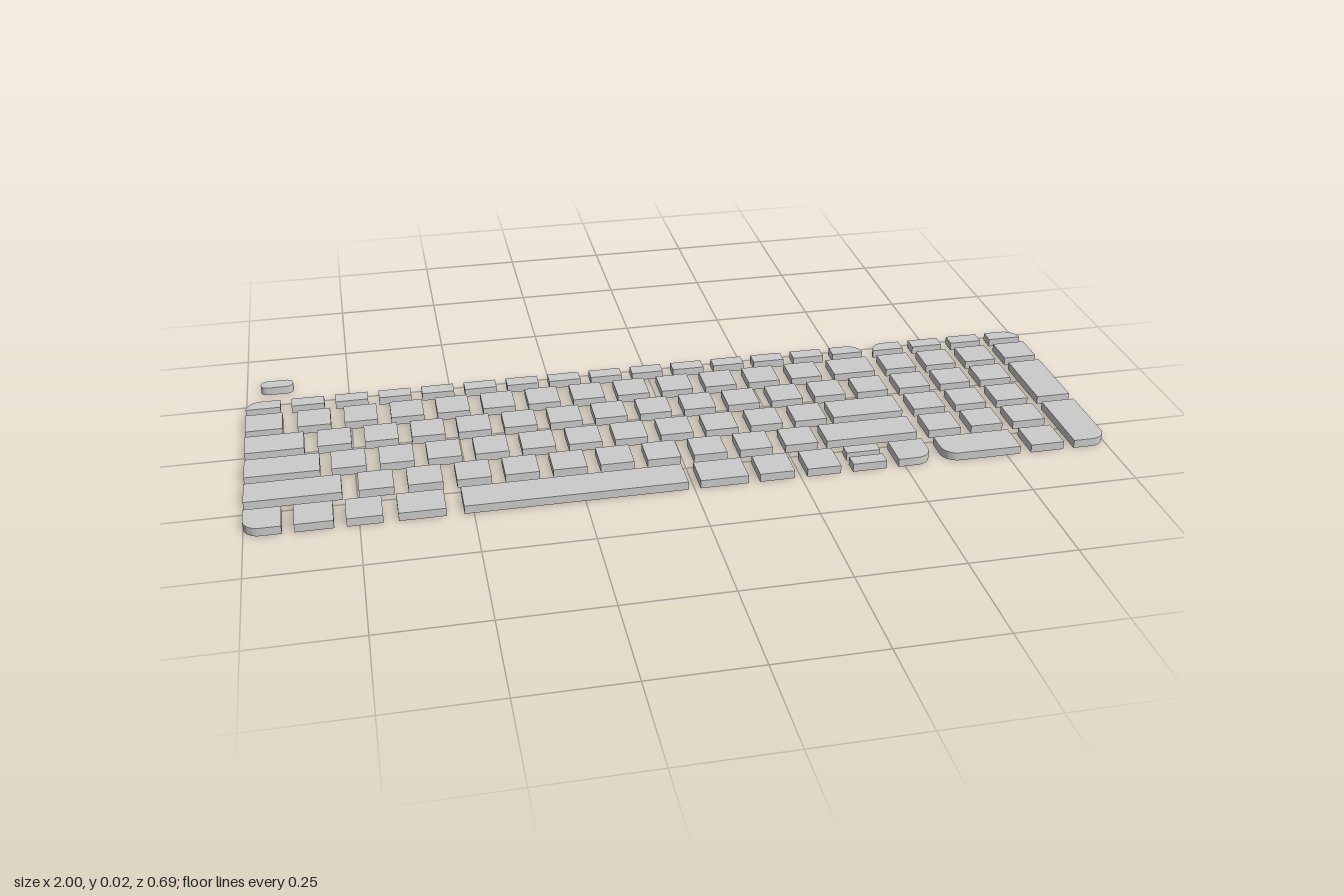
import * as THREE from 'three';
import { toCreasedNormals, mergeGeometries } from 'three/addons/utils/BufferGeometryUtils.js';

const HEIGHT = 0.02, LID = 0.007, WALL = 0.013;
const material = new THREE.MeshStandardMaterial({ color: 0xcccccc });

// Rectangle whose corners are rounded one by one: r = [backMinusX, backPlusX, frontPlusX, frontMinusX]
function outline(path, x0, x1, z0, z1, r) {
  const [a, b, c, d] = r;
  const H = Math.PI / 2;
  path.moveTo(x0 + d, -z1);
  path.lineTo(x1 - c, -z1);
  if (c) path.absarc(x1 - c, -z1 + c, c, -H, 0, false);
  path.lineTo(x1, -z0 - b);
  if (b) path.absarc(x1 - b, -z0 - b, b, 0, H, false);
  path.lineTo(x0 + a, -z0);
  if (a) path.absarc(x0 + a, -z0 - a, a, H, 2 * H, false);
  path.lineTo(x0, -z1 + d);
  if (d) path.absarc(x0 + d, -z1 + d, d, 2 * H, 3 * H, false);
  path.closePath();
  return path;
}

// Keycap: a solid lid on a hollow skirt that is open underneath
function keycap(name, x0, x1, z0, z1, r = [0, 0, 0, 0]) {
  const lidShape = outline(new THREE.Shape(), x0, x1, z0, z1, r);
  const skirtShape = outline(new THREE.Shape(), x0, x1, z0, z1, r);
  const w = Math.min(WALL, (z1 - z0) * 0.36);
  skirtShape.holes.push(outline(new THREE.Path(), x0 + w, x1 - w, z0 + w, z1 - w,
    r.map((v) => Math.max(0, v - w))));
  const extrude = (shape, depth) =>
    new THREE.ExtrudeGeometry(shape, { depth, bevelEnabled: false, curveSegments: 6 });
  const lid = extrude(lidShape, LID).translate(0, 0, HEIGHT - LID);
  const skirt = extrude(skirtShape, HEIGHT - LID);
  const geometry = mergeGeometries([lid, skirt]).rotateX(-Math.PI / 2);
  const mesh = new THREE.Mesh(toCreasedNormals(geometry, 0.6), material);
  mesh.name = name;
  return mesh;
}

export function createModel() {
  const model = new THREE.Group();
  model.name = 'keyboardKeys';
  const R = 0.037;
  const BACK_MINUS = [R, 0, 0, 0], BACK_PLUS = [0, R, 0, 0];
  const FRONT_PLUS = [0, 0, R, 0], FRONT_MINUS = [0, 0, 0, R];

  const EDGE = 0.567;
  const Z = [[-0.238, -0.2], [-0.173, -0.092], [-0.067, 0.012], [0.041, 0.122], [0.149, 0.229], [0.26, 0.343]];

  // Main rows: wide end keys with evenly spaced letter keys between
  const rows = [
    { name: 'functionRow', firstEnd: -0.917, start: -0.89, count: 13, pitch: 0.106, lastStart: 0.487 },
    { name: 'numberRow', firstEnd: -0.912, start: -0.877, count: 12, pitch: 0.1113, lastStart: 0.46 },
    { name: 'upperLetterRow', firstEnd: -0.863, start: -0.832, count: 12, pitch: 0.11, lastStart: 0.488 },
    { name: 'homeRow', firstEnd: -0.829, start: -0.803, count: 11, pitch: 0.11, lastStart: 0.393 },
    { name: 'lowerLetterRow', firstEnd: -0.783, start: -0.746, count: 10, pitch: 0.11, lastStart: 0.345 },
  ];
  rows.forEach((row, i) => {
    const group = new THREE.Group();
    group.name = row.name;
    const [z0, z1] = Z[i];
    group.add(keycap('endKey', -1, row.firstEnd, z0, z1, i === 0 ? BACK_MINUS : undefined));
    for (let k = 0; k < row.count; k++) {
      const x = row.start + k * row.pitch;
      group.add(keycap('key', x, x + 0.079, z0, z1));
    }
    group.add(keycap('endKey', row.lastStart, EDGE, z0, z1, i === 0 ? BACK_PLUS : undefined));
    model.add(group);
  });

  // Front row: modifiers, space bar and arrows
  const front = new THREE.Group();
  front.name = 'modifierRow';
  const [f0, f1] = Z[5];
  front.add(keycap('cornerKey', -1, -0.917, f0, f1, FRONT_MINUS));
  [[-0.89, -0.805], [-0.778, -0.698], [-0.665, -0.56], [0.014, 0.126], [0.153, 0.235], [0.265, 0.345]]
    .forEach(([a, b]) => front.add(keycap('modifierKey', a, b, f0, f1)));
  front.add(keycap('spaceBar', -0.521, -0.014, f0, f1));
  front.add(keycap('upArrowKey', 0.374, 0.455, f0, 0.291));
  front.add(keycap('downArrowKey', 0.374, 0.455, 0.309, f1));
  front.add(keycap('cornerArrowKey', 0.484, EDGE, f0, f1, FRONT_PLUS));
  model.add(front);

  // Number pad: four columns, with tall keys in the outer one
  const pad = new THREE.Group();
  pad.name = 'numberPad';
  const column = [[0.597, 0.677], [0.704, 0.783], [0.81, 0.891], [0.917, 1]];
  for (let i = 0; i < 5; i++) {
    const columns = i < 2 ? 4 : 3;
    for (let c = 0; c < columns; c++) {
      const corner = i === 0 && c === 0 ? BACK_MINUS : i === 0 && c === 3 ? BACK_PLUS : undefined;
      pad.add(keycap('padKey', ...column[c], ...Z[i], corner));
    }
  }
  pad.add(keycap('tallKey', ...column[3], Z[2][0], Z[3][1]));
  pad.add(keycap('tallCornerKey', ...column[3], Z[4][0], f1, FRONT_PLUS));
  pad.add(keycap('wideCornerKey', column[0][0], column[1][1], f0, f1, FRONT_MINUS));
  pad.add(keycap('padKey', ...column[2], f0, f1));
  model.add(pad);

  // Separate rounded button behind the rows
  model.add(keycap('powerButton', -0.965, -0.885, -0.343, -0.307, [0.0175, 0.0175, 0.0175, 0.0175]));
  return model;
}
